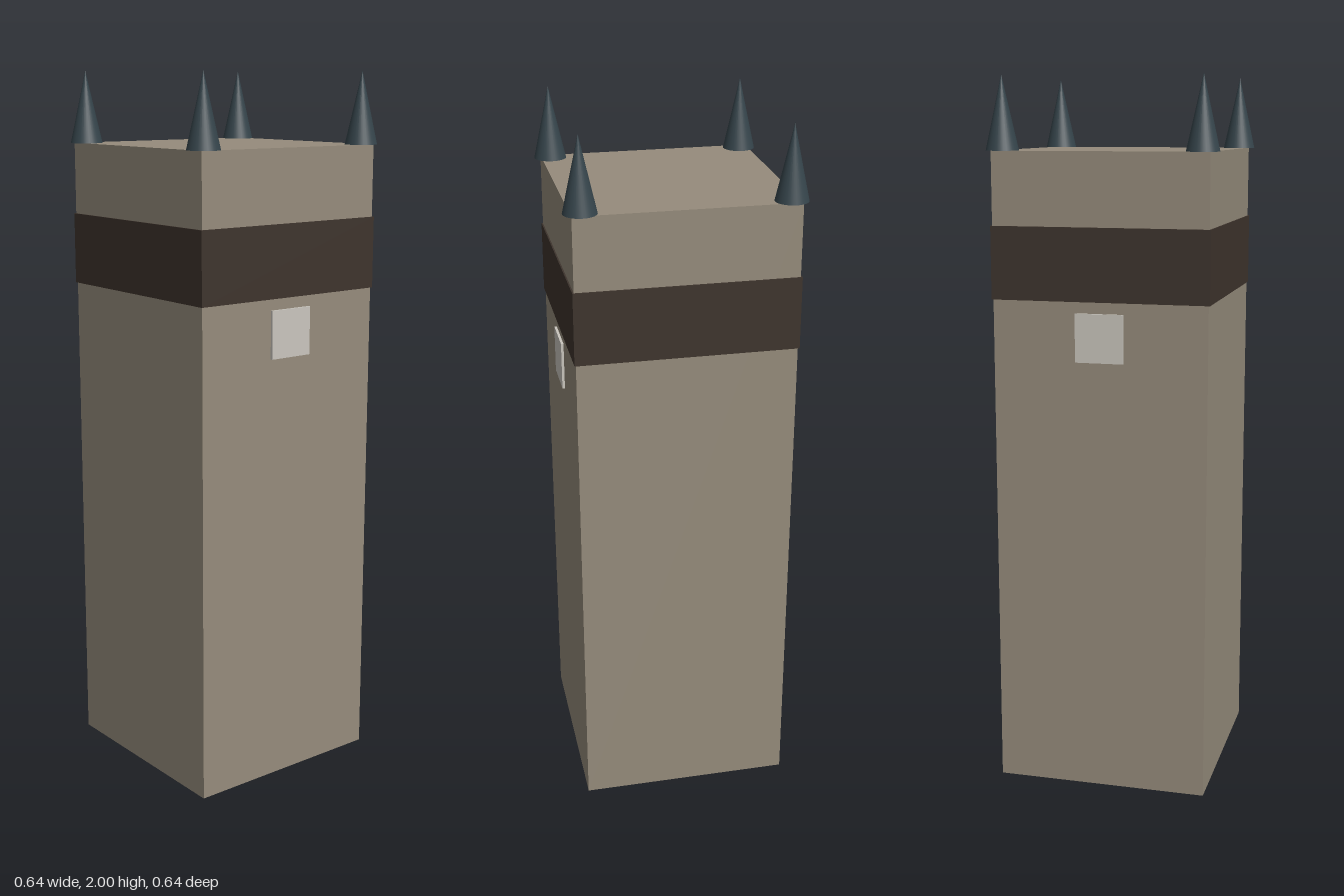
import * as THREE from 'three';

const material = (name, color) => {
  const m = new THREE.MeshStandardMaterial({ color });
  m.name = name;
  return m;
};

export function createModel() {
  const stone = material('stone', 0x968c7c);
  const darkBand = material('dark band', 0x3e342d);
  const slate = material('slate', 0x36454c);
  const pale = material('pale panel', 0xcac6be);

  const tower = new THREE.Group();
  tower.name = 'tower';
  const add = (name, geometry, mat, x, y, z) => {
    const mesh = new THREE.Mesh(geometry, mat);
    mesh.name = name;
    mesh.position.set(x, y, z);
    tower.add(mesh);
  };

  // Square shaft with a slightly proud band near the top
  add('shaft', new THREE.BoxGeometry(0.6, 1.8, 0.6), stone, 0, 0.9, 0);
  add('band', new THREE.BoxGeometry(0.608, 0.2, 0.608), darkBand, 0, 1.5, 0);

  // Thin square panels on the front and back
  const panel = new THREE.BoxGeometry(0.134, 0.134, 0.007);
  add('frontPanel', panel, pale, 0, 1.302, 0.3035);
  add('backPanel', panel, pale, 0, 1.302, -0.3035);

  // Conical spires on the four corners
  const spire = new THREE.ConeGeometry(0.045, 0.2, 32);
  for (const [xName, x] of [['Left', 0.275], ['Right', -0.275]]) {
    for (const [zName, z] of [['front', 0.275], ['back', -0.275]]) {
      add(`${zName}${xName}Spire`, spire, slate, x, 1.9, z);
    }
  }
  return tower;
}
